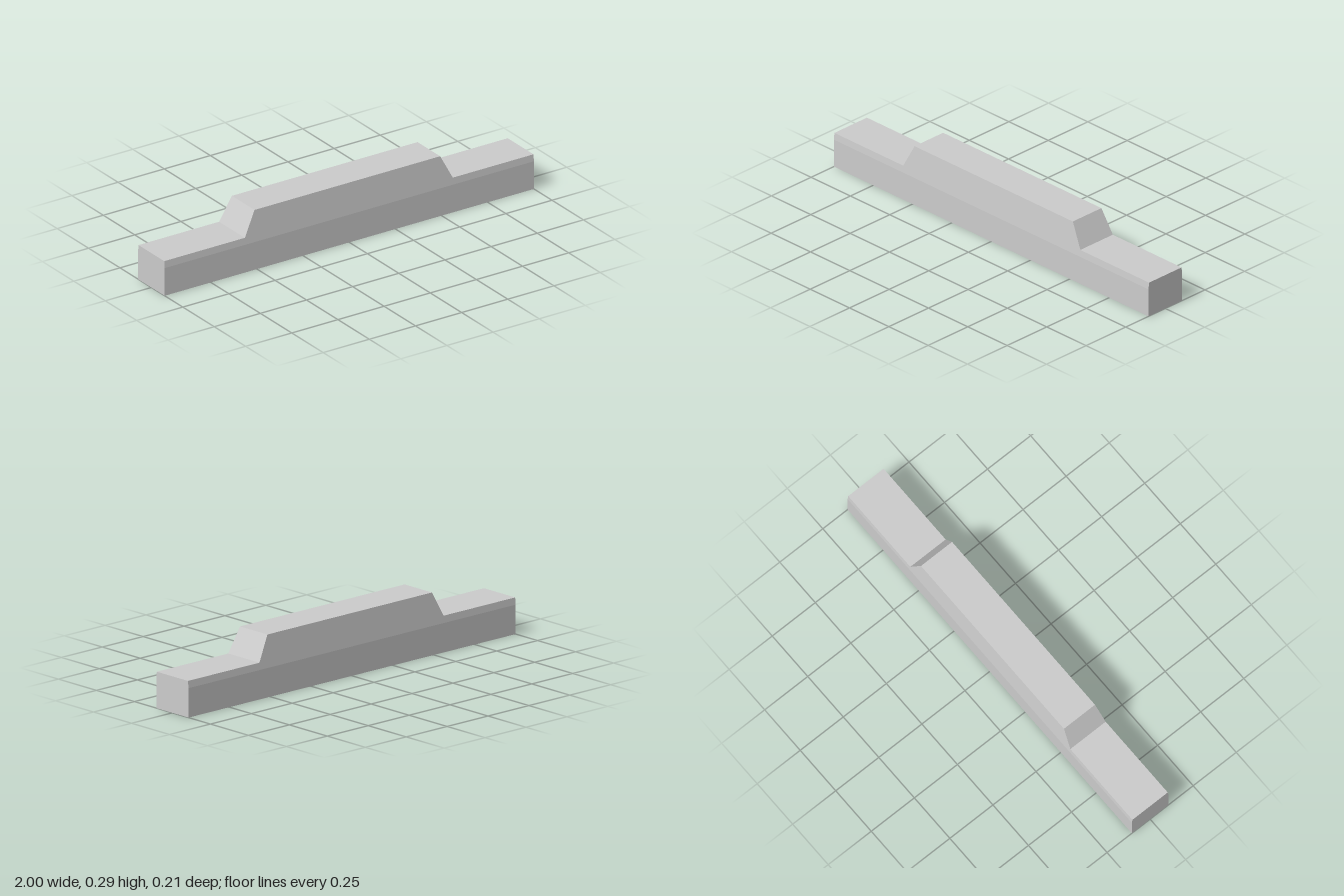
import * as THREE from 'three';

const HALF = 0.106;      // half depth of the upright sides
const SHOULDER = 0.137;  // height where the sides begin to lean in
const TOP = 0.287;
const LOW = 0.17;
const RIM = 0.014, RECESS = 0.018;

const material = new THREE.MeshStandardMaterial({ color: 0xcccccc, flatShading: true });

// Cross-section in (z, y): upright sides, then a slight taper up to the given height
function section(x, height) {
  const t = HALF - (HALF - 0.09) * (height - SHOULDER) / (TOP - SHOULDER);
  return [[HALF, 0], [HALF, SHOULDER], [t, height], [-t, height], [-HALF, SHOULDER], [-HALF, 0]]
    .map(([z, y]) => [x, y, z]);
}

// Skin lofted along x, closed at both ends and open underneath
function bodyGeometry() {
  const rows = [[-1, LOW], [-0.563, LOW], [-0.503, TOP], [0.503, TOP], [0.563, LOW], [1, LOW]]
    .map(([x, h]) => section(x, h));
  const pos = [];
  const tri = (...pts) => pts.forEach(p => pos.push(...p));
  for (let i = 0; i < rows.length - 1; i++) {
    const a = rows[i], b = rows[i + 1];
    for (let j = 0; j < 5; j++) {
      tri(a[j], b[j], b[j + 1]);
      tri(a[j], b[j + 1], a[j + 1]);
    }
  }
  const first = rows[0], last = rows[rows.length - 1];
  for (let j = 1; j < 5; j++) {
    tri(first[0], first[j], first[j + 1]);
    tri(last[0], last[j + 1], last[j]);
  }
  const geo = new THREE.BufferGeometry();
  geo.setAttribute('position', new THREE.Float32BufferAttribute(pos, 3));
  geo.computeVertexNormals();
  return geo;
}

function rectangle(Type, hx, hy) {
  return new Type([[-hx, -hy], [hx, -hy], [hx, hy], [-hx, hy]].map(p => new THREE.Vector2(...p)));
}

export function createModel() {
  const group = new THREE.Group();
  group.name = 'steppedBar';
  const add = (name, geo, parent = group) => {
    const mesh = new THREE.Mesh(geo, material);
    mesh.name = name;
    parent.add(mesh);
    return mesh;
  };

  add('body', bodyGeometry());

  // Underside: narrow rim around a shallow recess
  const ix = 1 - RIM, iz = HALF - RIM;
  const rim = rectangle(THREE.Shape, 1, HALF);
  rim.holes.push(rectangle(THREE.Path, ix, iz));
  add('bottomRim', new THREE.ShapeGeometry(rim).rotateX(Math.PI / 2));

  const recess = new THREE.Group();
  recess.name = 'bottomRecess';
  group.add(recess);
  add('recessFloor', new THREE.PlaneGeometry(2 * ix, 2 * iz).rotateX(Math.PI / 2).translate(0, RECESS, 0), recess);
  for (let i = 0; i < 4; i++) {
    const [width, reach] = i % 2 ? [2 * iz, ix] : [2 * ix, iz];
    add('recessWall', new THREE.PlaneGeometry(width, RECESS)
      .translate(0, RECESS / 2, -reach).rotateY(i * Math.PI / 2), recess);
  }
  return group;
}
